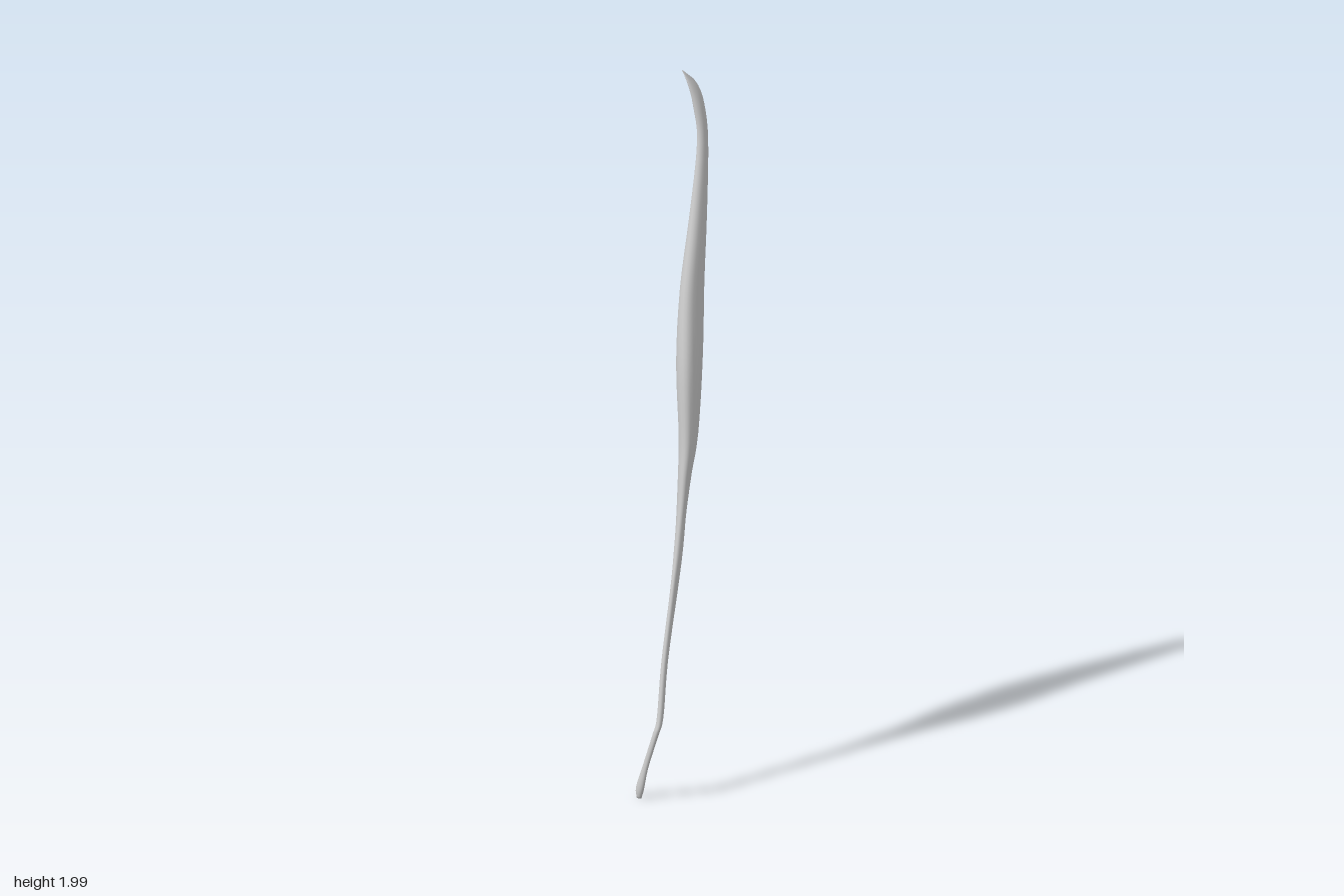
import * as THREE from 'three';

// Cross-sections from the bottom up:
// y, centre x, centre z, half length, half thickness, turn in degrees, groove, tilt
const SECTIONS = [
  [0.005, 0.082, 0.207, 0.008, 0.006, 85, 0, 0],
  [0.035, 0.085, 0.206, 0.014, 0.009, 85, 0, 0],
  [0.10, 0.099, 0.199, 0.011, 0.007, 75, 0, 0],
  [0.20, 0.127, 0.188, 0.012, 0.008, 60, 0, 0],
  [0.25, 0.131, 0.174, 0.013, 0.009, 45, 0, 0],
  [0.40, 0.111, 0.138, 0.014, 0.009, 40, 0, 0],
  [0.60, 0.086, 0.077, 0.021, 0.010, 32, 0, 0],
  [0.70, 0.069, 0.046, 0.025, 0.013, 40, 0.1, 0],
  [0.80, 0.053, 0.021, 0.031, 0.015, 50, 0.2, 0],
  [0.90, 0.033, -0.010, 0.050, 0.021, 48, 0.2, 0],
  [1.00, 0.018, -0.037, 0.065, 0.029, 46, 0.15, 0],
  [1.20, -0.012, -0.070, 0.078, 0.038, 42, 0.1, 0],
  [1.40, -0.042, -0.107, 0.063, 0.035, 36, 0.2, 0],
  [1.60, -0.065, -0.150, 0.045, 0.028, 38, 0.4, 0],
  [1.80, -0.088, -0.189, 0.026, 0.019, 38, 0.7, 0],
  [1.90, -0.105, -0.193, 0.021, 0.016, 20, 0.9, 0],
  [1.95, -0.120, -0.190, 0.021, 0.010, 0, 0.9, 0.012],
  [1.98, -0.138, -0.186, 0.019, 0.004, -15, 0.5, 0.018],
];
const SIDES = 24;
const STEPS = 4; // rows per section interval

// Smooth interpolation of three columns of the section table
function columns(i, j, k) {
  const pts = SECTIONS.map((s) => new THREE.Vector3(s[i], s[j], s[k]));
  return new THREE.CatmullRomCurve3(pts, false, 'catmullrom', 0.5);
}

export function createModel() {
  const group = new THREE.Group();
  const material = new THREE.MeshStandardMaterial({ color: 0xcccccc, side: THREE.DoubleSide });
  const centre = columns(1, 0, 2);
  const size = columns(3, 4, 6);
  const twist = columns(5, 7, 7);
  const rows = (SECTIONS.length - 1) * STEPS;

  // Loft of flattened, gently grooved ovals
  const pos = [];
  for (let r = 0; r <= rows; r++) {
    const c = centre.getPoint(r / rows);
    const s = size.getPoint(r / rows);
    const w = twist.getPoint(r / rows);
    const a = THREE.MathUtils.degToRad(w.x);
    for (let k = 0; k < SIDES; k++) {
      const t = (k / SIDES) * Math.PI * 2;
      const sin = Math.sin(t);
      const u = s.x * Math.cos(t);
      const v = s.y * sin * (sin < 0 ? 1 - s.z * sin * sin : 1);
      pos.push(
        c.x + u * Math.sin(a) + v * Math.cos(a),
        c.y + w.y * Math.cos(t),
        c.z + u * Math.cos(a) - v * Math.sin(a)
      );
    }
  }
  // End centres
  const bottom = pos.length / 3;
  for (const e of [0, 1]) {
    const c = centre.getPoint(e);
    pos.push(c.x, c.y, c.z);
  }

  function strip(from, to) {
    const index = [];
    for (let r = from; r < to; r++) {
      for (let k = 0; k < SIDES; k++) {
        const n = (k + 1) % SIDES;
        const a = r * SIDES + k, b = r * SIDES + n;
        index.push(a, b, b + SIDES, a, b + SIDES, a + SIDES);
      }
    }
    for (let k = 0; k < SIDES; k++) {
      const n = (k + 1) % SIDES;
      if (from === 0) index.push(bottom, n, k);
      if (to === rows) index.push(bottom + 1, rows * SIDES + k, rows * SIDES + n);
    }
    return index;
  }

  // Normals are shared so the three parts join without a seam
  const whole = new THREE.BufferGeometry();
  whole.setAttribute('position', new THREE.Float32BufferAttribute(pos, 3));
  whole.setIndex(strip(0, rows));
  whole.computeVertexNormals();

  const parts = [
    ['lowerTendon', 0, 7 * STEPS],
    ['muscleBelly', 7 * STEPS, 14 * STEPS],
    ['upperTendon', 14 * STEPS, rows],
  ];
  for (const [name, from, to] of parts) {
    const geometry = whole.clone();
    geometry.setIndex(strip(from, to));
    const mesh = new THREE.Mesh(geometry, material);
    mesh.name = name;
    group.add(mesh);
  }
  group.name = 'muscle';
  return group;
}
